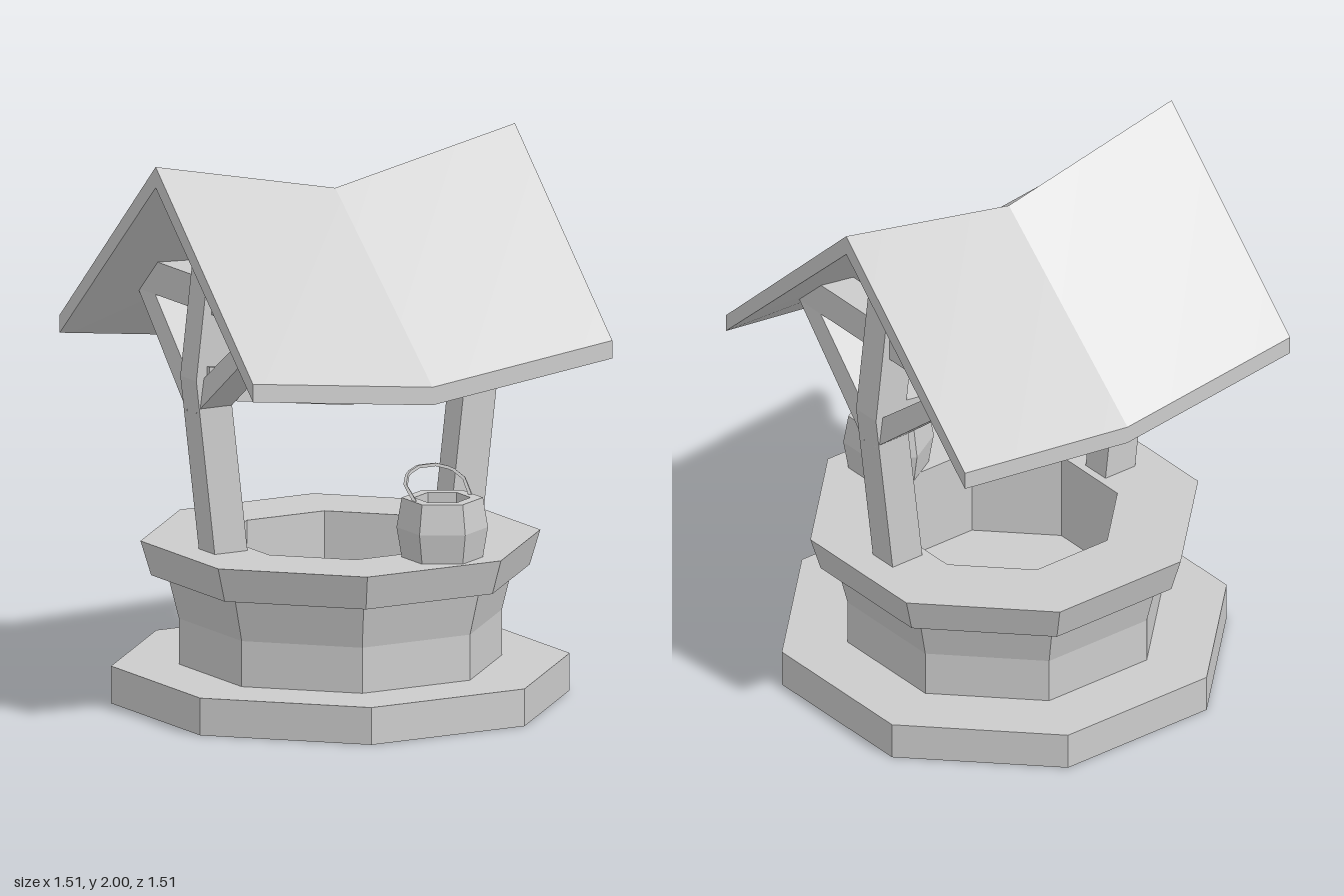
import * as THREE from 'three';
import { toCreasedNormals } from 'three/addons/utils/BufferGeometryUtils.js';

const material = new THREE.MeshStandardMaterial({ color: 0xcccccc, flatShading: true });
const shellMaterial = new THREE.MeshStandardMaterial({ color: 0xcccccc, flatShading: true, side: THREE.DoubleSide });
const roofMaterial = new THREE.MeshStandardMaterial({ color: 0xcccccc });

function addMesh(parent, name, geometry, surface = material) {
  const mesh = new THREE.Mesh(geometry, surface);
  mesh.name = name;
  parent.add(mesh);
}

// Many-sided turned shape; profile is [radius, y], running up the outside and down the inside
function turned(profile, sides, phase, scale = 1) {
  const points = profile.map(([r, y]) => new THREE.Vector2(r * scale, y));
  return new THREE.LatheGeometry(points, sides, phase);
}

// Side outline of [z, y] points, extruded along x from x0 to x1, then reshaped by a rule
function beam(outline, x0, x1, steps, rule) {
  const shape = new THREE.Shape(outline.map(([z, y]) => new THREE.Vector2(-z, y)));
  const geometry = new THREE.ExtrudeGeometry(shape, { depth: x1 - x0, steps, bevelEnabled: false });
  geometry.rotateY(Math.PI / 2).translate(x0, 0, 0);
  const pos = geometry.attributes.position;
  const v = new THREE.Vector3();
  for (let i = 0; i < pos.count; i++) {
    rule(v.fromBufferAttribute(pos, i));
    pos.setXYZ(i, v.x, v.y, v.z);
  }
  geometry.computeVertexNormals();
  return geometry;
}

export function createModel() {
  const group = new THREE.Group();

  // Octagonal stone well, open below: plinth, flared wall, rim, inner wall and floor (radii to the flat sides)
  addMesh(group, 'stoneWell', turned([
    [0.757, 0], [0.757, 0.135], [0.533, 0.135], [0.533, 0.3], [0.57, 0.46], [0.625, 0.46],
    [0.66, 0.585], [0.385, 0.585], [0.385, 0.255], [0, 0.255],
  ], 8, Math.PI / 8, 1 / Math.cos(Math.PI / 8)), shellMaterial);

  // Sagging gable roof
  const sag = 0.736, middle = -0.021;
  addMesh(group, 'roof', toCreasedNormals(beam(
    [[0.685, 1.34], [0.685, 1.275], [0, 1.925], [-0.675, 1.275], [-0.675, 1.34], [0, 2]],
    middle - sag, middle + sag, 2,
    (v) => {
      const drop = 0.155 - 0.065 * Math.abs(v.z) / 0.685;
      v.y -= drop * (1 - Math.abs(v.x - middle) / sag);
    }), 0.12), roofMaterial);

  // Bent crossbeam between the posts
  addMesh(group, 'crossbeam', beam(
    [[0.075, 1.07], [-0.055, 1.07], [-0.055, 1.19], [0.075, 1.19]], -0.58, 0.58, 2,
    (v) => { v.y += 0.08 * Math.abs(v.x) / 0.58; }));

  const kink = 1.22;
  for (const [side, label] of [[1, 'left'], [-1, 'right']]) {
    const frame = new THREE.Group();
    frame.name = label + 'Frame';
    group.add(frame);

    // Post leaning outwards up to a kink, then inwards to a chamfered top
    const bend = (v) => {
      v.x -= side * (v.y > kink ? 0.12 * (v.y - kink) : 0.119 * (kink - v.y));
    };
    const centre = side * 0.557;
    addMesh(frame, 'lowerPost', beam(
      [[0.058, 0.5], [0.058, kink], [-0.055, kink], [-0.055, 0.5]],
      centre - 0.067, centre + 0.067, 1, bend));
    addMesh(frame, 'upperPost', beam(
      [[0.058, kink], [0.058, 1.845], [0.025, 1.885], [-0.02, 1.885], [-0.055, 1.845], [-0.055, kink]],
      centre - 0.067, centre + 0.067, 1, bend));

    // Horizontal tie under the roof slopes
    addMesh(frame, 'tieBeam', beam(
      [[0.46, 1.455], [0.345, 1.575], [-0.335, 1.575], [-0.45, 1.455]],
      side * 0.5 - 0.062, side * 0.5 + 0.062, 1, () => {}));

    // Diagonal braces from the post to the tie ends
    for (const dir of [1, -1]) {
      addMesh(frame, dir > 0 ? 'frontBrace' : 'backBrace', beam(
        [[0.03, 1.095], [0.46, 1.455], [0.4, 1.51], [0.34, 1.455], [0.03, 1.205]].map(([z, y]) => [z * dir, y]),
        side * 0.543 - 0.065, side * 0.543 + 0.065, 1,
        (v) => { v.x -= side * 0.14 * (v.y - 1.12); }));
    }
  }

  // Hexagonal bucket standing on the rim
  const bucket = new THREE.Group();
  bucket.name = 'bucket';
  bucket.position.set(0.128, 0.585, 0.497);
  group.add(bucket);
  addMesh(bucket, 'bucketBody', turned([
    [0, 0], [0.144, 0], [0.162, 0.108], [0.144, 0.215], [0.1, 0.215], [0.1, 0.07], [0, 0.07],
  ], 6, 0));

  // Tilted bucket handle
  const path = new THREE.CurvePath();
  const points = [[-0.112, 0.2], [-0.12, 0.262], [-0.09, 0.295], [-0.035, 0.311],
    [0.035, 0.311], [0.09, 0.295], [0.12, 0.262], [0.112, 0.2]]
    .map(([x, y]) => new THREE.Vector3(x, y, -1.12 * (y - 0.215)));
  for (let i = 1; i < points.length; i++) path.add(new THREE.LineCurve3(points[i - 1], points[i]));
  addMesh(bucket, 'bucketHandle', new THREE.TubeGeometry(path, 21, 0.008, 4));

  return group;
}
